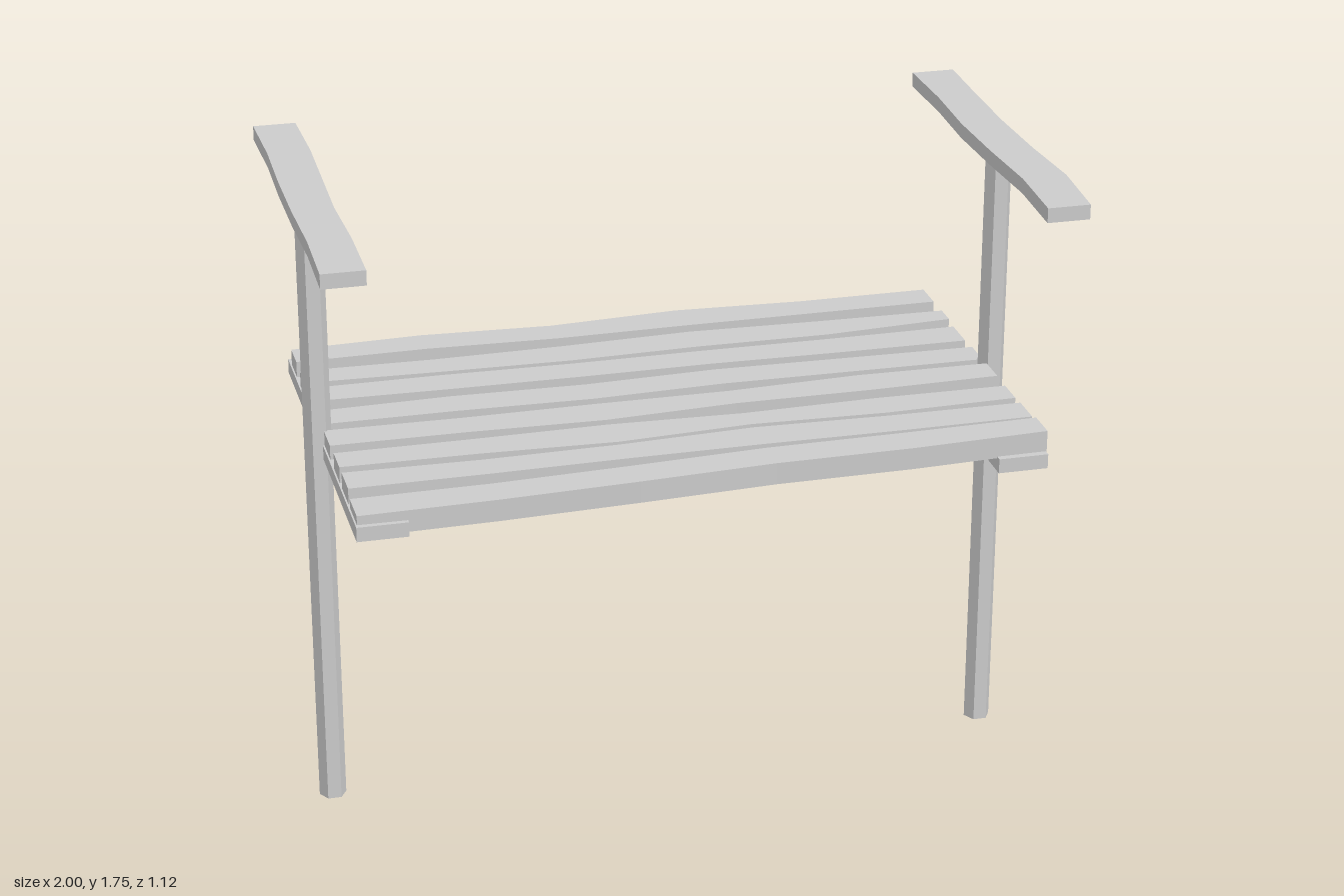
import * as THREE from 'three';

const material = new THREE.MeshStandardMaterial({ color: 0xcccccc, flatShading: true });

// Hand-cut plank: wavy outline in plan (backs/fronts are z along x), optionally rising along x
function plank(name, x0, x1, backs, fronts, bottom, height, rise = 0) {
  const at = (i, n) => x0 + (x1 - x0) * i / (n - 1);
  const points = [
    ...fronts.map((z, i) => new THREE.Vector2(at(i, fronts.length), -z)),
    ...backs.map((z, i) => new THREE.Vector2(at(i, backs.length), -z)).reverse(),
  ];
  const geometry = new THREE.ExtrudeGeometry(new THREE.Shape(points), { depth: height, bevelEnabled: false });
  geometry.rotateX(-Math.PI / 2);
  geometry.translate(0, bottom, 0);
  const p = geometry.attributes.position;
  for (let i = 0; i < p.count; i++) {
    p.setY(i, p.getY(i) + rise * (p.getX(i) - x0) / (x1 - x0));
  }
  geometry.computeVertexNormals();
  const mesh = new THREE.Mesh(geometry, material);
  mesh.name = name;
  return mesh;
}

// Seat slats, front to back: edges at six stations, underside height and rise
const slats = [
  { back: [.44, .45, .445, .435, .445, .45], front: [.545, .55, .545, .535, .545, .54], y: 1.03, rise: .033 },
  { back: [.32, .33, .325, .305, .32, .325], front: [.42, .42, .415, .415, .42, .42], y: 1.05, rise: .003 },
  { back: [.195, .195, .19, .205, .195, .2], front: [.285, .29, .305, .28, .295, .285], y: 1.05, rise: 0 },
  { back: [.035, .045, .045, .05, .035, .045], front: [.135, .14, .155, .135, .14, .135], y: 1.045, rise: .007 },
  { back: [-.085, -.095, -.085, -.1, -.09, -.08], front: [.005, .005, .015, 0, .005, .01], y: 1.05, rise: 0 },
  { back: [-.235, -.24, -.235, -.24, -.24, -.245], front: [-.145, -.14, -.14, -.145, -.14, -.14], y: 1.053, rise: -.008 },
  { back: [-.365, -.355, -.36, -.375, -.36, -.35], front: [-.28, -.265, -.255, -.265, -.26, -.285], y: 1.05, rise: .002 },
  { back: [-.52, -.535, -.515, -.54, -.52, -.52], front: [-.43, -.435, -.42, -.425, -.425, -.425], y: 1.05, rise: 0 },
];

// One end of the bench: post, seat beam and armrest
const ends = [
  { side: 'right', post: -.943, beam: -.867, inner: [-.885, -.88, -.885, -.89, -.883, -.885], outer: [-1, -.995, -1, -1, -.995, -1] },
  { side: 'left', post: .928, beam: .835, inner: [.866, .87, .862, .868, .88, .87], outer: [.985, .98, .978, .985, 1, .985] },
];

export function createModel() {
  const model = new THREE.Group();
  model.name = 'bench';

  const seat = new THREE.Group();
  seat.name = 'seat';
  slats.forEach((s, i) => {
    seat.add(plank(`seatSlat${i + 1}`, -.93, .905, s.back, s.front, s.y, .06, s.rise));
  });
  model.add(seat);

  for (const e of ends) {
    // Hexagonal post
    const post = new THREE.Mesh(new THREE.CylinderGeometry(.037, .037, 1.72, 6, 1, false, Math.PI / 6), material);
    post.position.set(e.post, .86, .01);
    post.name = `${e.side}Post`;
    model.add(post);

    // Beam under the slat ends
    const beam = new THREE.Mesh(new THREE.BoxGeometry(.135, .04, 1.12), material);
    beam.position.set(e.beam, 1.045, 0);
    beam.name = `${e.side}Beam`;
    model.add(beam);

    // Armrest plank, laid out along x then turned to run front to back
    const [low, high] = e.side === 'left' ? [e.inner, e.outer] : [e.outer, e.inner];
    const arm = plank(`${e.side}Armrest`, -.56, .56, low.slice().reverse(), high.slice().reverse(), 1.715, .04);
    arm.rotation.y = Math.PI / 2;
    model.add(arm);
  }
  return model;
}
